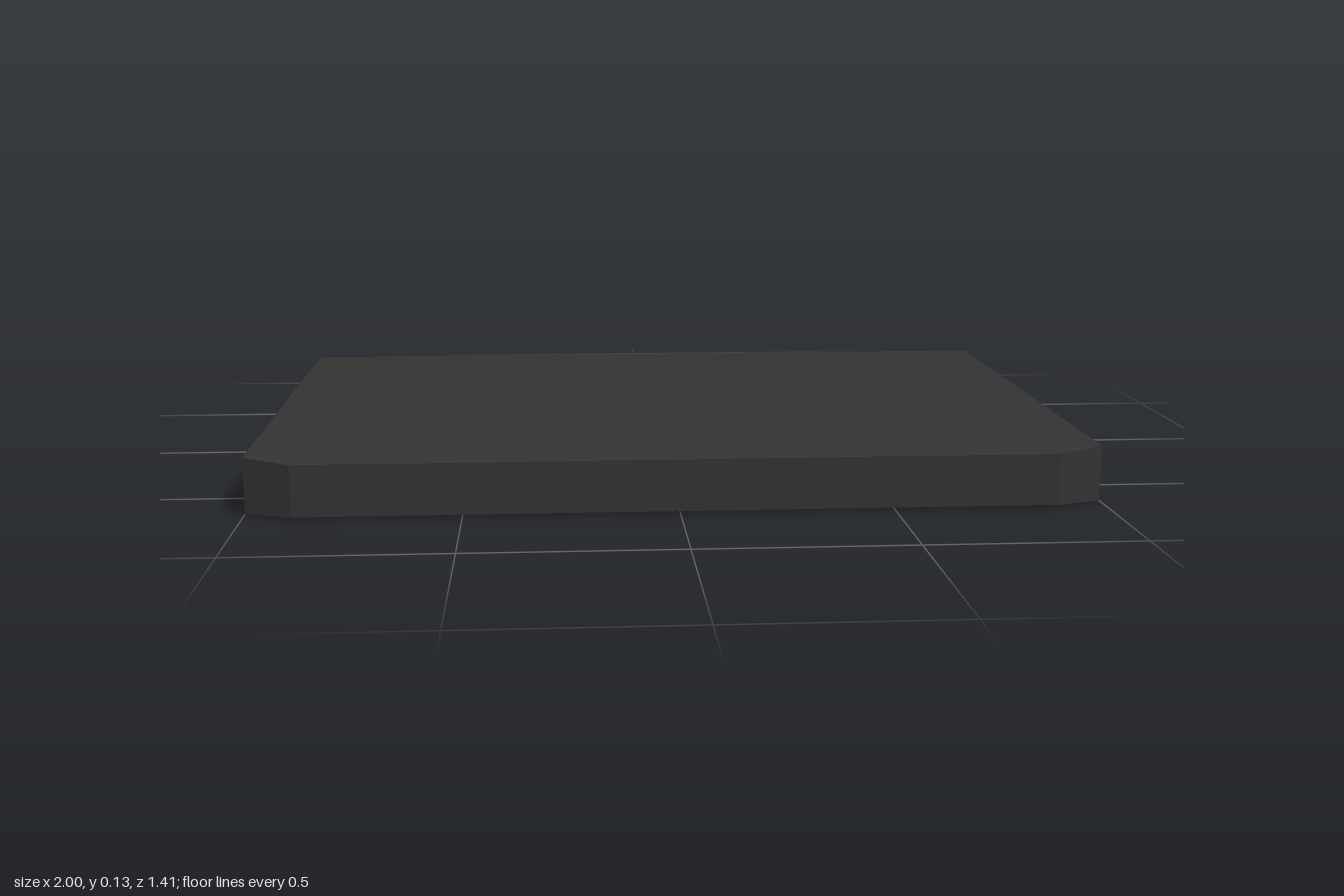
import * as THREE from 'three';

const W = 1, BACK = -0.707, FRONT = 0.707, H = 0.134;
const COVER = 0.008;      // board thickness
const SPINE_IN = 0.555;   // inner face of the spine
const SHOULDER = 0.65;    // where the spine begins to taper

export function createModel() {
  const book = new THREE.Group();
  book.name = 'book';
  const dark = new THREE.MeshStandardMaterial({ color: 0x333333, flatShading: true });
  const paper = new THREE.MeshStandardMaterial({ color: 0xcccccc, flatShading: true });

  // Box given by its limits along each axis
  const addBox = (name, mat, [x0, x1], [y0, y1], [z0, z1]) => {
    const geo = new THREE.BoxGeometry(x1 - x0, y1 - y0, z1 - z0);
    geo.translate((x0 + x1) / 2, (y0 + y1) / 2, (z0 + z1) / 2);
    const mesh = new THREE.Mesh(geo, mat);
    mesh.name = name;
    book.add(mesh);
    return mesh;
  };

  // Thin boards, overhanging the pages
  addBox('bottomCover', dark, [-W, W], [0, COVER], [BACK, SPINE_IN]);
  addBox('topCover', dark, [-W, W], [H - COVER, H], [BACK, SPINE_IN]);

  // Page block
  addBox('pages', paper, [-0.973, 0.973], [COVER, H - COVER], [-0.65, SPINE_IN]);

  // Spine: straight part, then a front that tapers in width and height
  addBox('spine', dark, [-W, W], [0, H], [SPINE_IN, SHOULDER]);
  const front = addBox('spineFront', dark, [-W, W], [0, H], [SHOULDER, FRONT]);
  const p = front.geometry.attributes.position;
  for (let i = 0; i < p.count; i++) {
    if (p.getZ(i) < FRONT - 0.01) continue;
    p.setX(i, p.getX(i) * 0.887);
    p.setY(i, H / 2 + (p.getY(i) - H / 2) * 0.91);
  }
  front.geometry.computeVertexNormals();

  return book;
}
